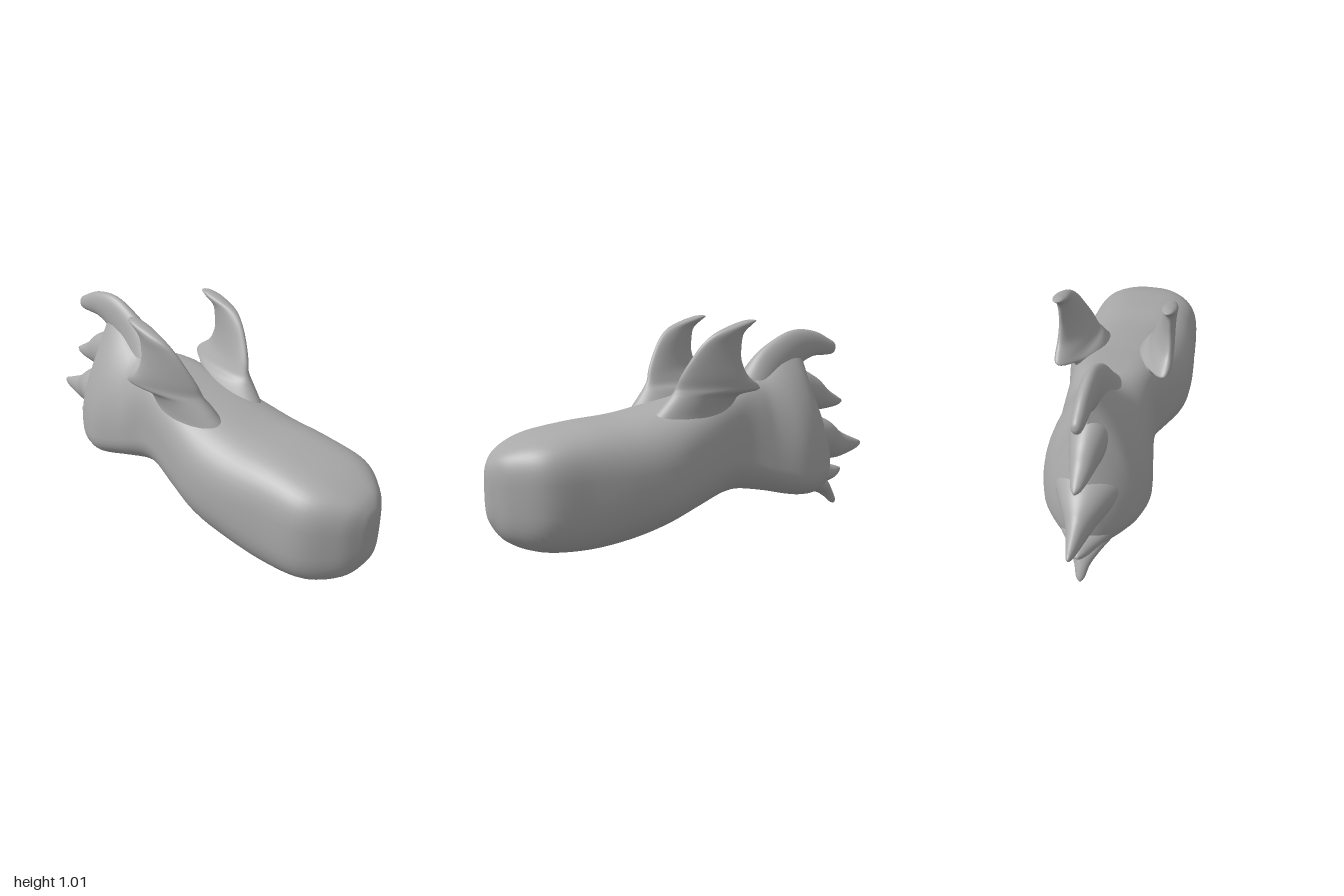
import * as THREE from 'three';

const SIDES = 48;
const bone = new THREE.MeshStandardMaterial({ color: 0xa9a9a9 });
bone.name = 'bone grey';

// Smoothly interpolate rows of station values
function resample(rows, steps) {
  const out = [];
  const at = (i) => rows[Math.max(0, Math.min(rows.length - 1, i))];
  for (let i = 0; i < rows.length - 1; i++) {
    for (let s = 0; s < steps; s++) {
      const t = s / steps;
      out.push(rows[i].map((b, k) => {
        const a = at(i - 1)[k], c = at(i + 1)[k], d = at(i + 2)[k];
        return b + 0.5 * t * (c - a + t * (2 * a - 5 * b + 4 * c - d + t * (3 * (b - c) + d - a)));
      }));
    }
  }
  out.push(rows[rows.length - 1]);
  return out;
}

// Skin a list of closed rings and cap both ends
function loft(name, rings) {
  const pos = [], idx = [], n = SIDES;
  rings.forEach((r) => r.forEach((p) => pos.push(p.x, p.y, p.z)));
  for (let i = 0; i < rings.length - 1; i++) {
    for (let j = 0; j < n; j++) {
      const a = i * n + j, b = i * n + (j + 1) % n;
      idx.push(a, a + n, b, b, a + n, b + n);
    }
  }
  [0, rings.length - 1].forEach((i, end) => {
    const c = new THREE.Vector3();
    rings[i].forEach((p) => c.addScaledVector(p, 1 / n));
    const m = pos.length / 3;
    pos.push(c.x, c.y, c.z);
    for (let j = 0; j < n; j++) {
      const a = i * n + j, b = i * n + (j + 1) % n;
      if (end) idx.push(m, b, a); else idx.push(m, a, b);
    }
  });
  const g = new THREE.BufferGeometry();
  g.setAttribute('position', new THREE.Float32BufferAttribute(pos, 3));
  g.setIndex(idx);
  g.computeVertexNormals();
  const mesh = new THREE.Mesh(g, bone);
  mesh.name = name;
  return mesh;
}

const ring = (fn) => Array.from({ length: SIDES }, (_, j) => {
  const a = (j / SIDES) * Math.PI * 2;
  return fn(Math.cos(a), Math.sin(a));
});
const spow = (v, p) => Math.sign(v) * Math.pow(Math.abs(v), p);

// Main body: z, bottom, widest height, top, half width, top power, bottom power
function makeBody() {
  const rows = [
    [1.0, 0.21, 0.28, 0.36, 0.03, 0.7, 0.7],
    [0.985, 0.15, 0.28, 0.42, 0.075, 0.65, 0.7],
    [0.93, 0.075, 0.28, 0.475, 0.16, 0.6, 0.65],
    [0.8, 0.022, 0.28, 0.525, 0.262, 0.6, 0.68],
    [0.6, 0, 0.28, 0.56, 0.287, 0.65, 0.75],
    [0.4, 0.013, 0.3, 0.58, 0.304, 0.75, 0.85],
    [0.22, 0.06, 0.32, 0.615, 0.302, 0.78, 0.85],
    [0.05, 0.115, 0.35, 0.65, 0.262, 0.66, 0.9],
    [-0.1, 0.16, 0.37, 0.685, 0.222, 0.55, 1.0],
    [-0.2, 0.175, 0.35, 0.705, 0.207, 0.58, 0.95],
    [-0.34, 0.155, 0.3, 0.735, 0.226, 1.05, 0.85],
    [-0.48, 0.122, 0.27, 0.85, 0.245, 2.05, 0.8],
    [-0.58, 0.106, 0.26, 0.87, 0.22, 2.45, 0.85],
    [-0.64, 0.106, 0.26, 0.72, 0.188, 2.1, 0.9],
    [-0.7, 0.105, 0.26, 0.57, 0.138, 1.8, 1.0],
    [-0.75, 0.12, 0.26, 0.44, 0.075, 1.3, 1.0],
    [-0.775, 0.2, 0.27, 0.34, 0.02, 1.0, 1.0],
  ];
  return loft('body', resample(rows, 6).map(([z, yb, ym, yt, w, pt, pb]) => ring((c, s) => {
    const p = s > 0 ? pt : pb;
    const y = ym + spow(s, Math.min(1, p)) * (s > 0 ? yt - ym : ym - yb);
    return new THREE.Vector3(w * spow(c, p), y, z);
  })));
}

// Tapered horn in the middle plane: z, y, half width, half height
function makeHorn(name, rows) {
  const st = resample(rows, 6);
  return loft(name, st.map(([z, y, a, b], i) => {
    const p = st[Math.max(0, i - 1)], q = st[Math.min(st.length - 1, i + 1)];
    const T = new THREE.Vector3(0, q[1] - p[1], q[0] - p[0]).normalize();
    const U = new THREE.Vector3(1, 0, 0).cross(T);
    return ring((c, s) => new THREE.Vector3(a * c, y, z).addScaledVector(U, b * s));
  }));
}

// Upright wing: y, front z, front x, back z, back x, half thickness
function makeWing(name, side) {
  const rows = [
    [0.48, 0.32, 0.13, -0.16, 0.12, 0.1],
    [0.57, 0.275, 0.13, -0.14, 0.135, 0.086],
    [0.62, 0.235, 0.138, -0.125, 0.152, 0.076],
    [0.665, 0.198, 0.145, -0.14, 0.185, 0.065],
    [0.688, 0.182, 0.15, -0.21, 0.232, 0.056],
    [0.712, 0.17, 0.155, -0.205, 0.246, 0.048],
    [0.76, 0.155, 0.17, -0.145, 0.25, 0.039],
    [0.83, 0.12, 0.195, -0.113, 0.248, 0.032],
    [0.9, 0.075, 0.218, -0.113, 0.246, 0.029],
    [0.95, 0.02, 0.235, -0.125, 0.245, 0.03],
    [0.985, -0.06, 0.24, -0.165, 0.24, 0.032],
    [1.003, -0.12, 0.24, -0.19, 0.24, 0.022],
    [1.008, -0.145, 0.24, -0.18, 0.24, 0.006],
  ];
  return loft(name, resample(rows, 5).map(([y, zf, xf, zb, xb, t]) => {
    const fx = (xf - xb) / 2, fz = (zf - zb) / 2, k = t / Math.hypot(fx, fz);
    const r = ring((c, s) => new THREE.Vector3(
      side * ((xf + xb) / 2 + fx * s + fz * k * c), y, (zf + zb) / 2 + fz * s - fx * k * c));
    return side > 0 ? r : r.reverse();
  }));
}

export function createModel() {
  const model = new THREE.Group();
  model.name = 'vertebra';
  model.add(makeBody());
  model.add(makeWing('leftWing', 1), makeWing('rightWing', -1));
  // Hooked top spine
  model.add(makeHorn('topSpine', [
    [-0.14, 0.56, 0.12, 0.1], [-0.3, 0.635, 0.095, 0.1], [-0.42, 0.745, 0.06, 0.11],
    [-0.5, 0.81, 0.047, 0.1], [-0.58, 0.853, 0.041, 0.088], [-0.67, 0.865, 0.035, 0.066],
    [-0.75, 0.85, 0.03, 0.046], [-0.8, 0.838, 0.022, 0.03], [-0.815, 0.835, 0.006, 0.008],
  ]));
  // Rear points, from high to low
  model.add(makeHorn('upperPoint', [
    [-0.36, 0.56, 0.12, 0.1], [-0.52, 0.625, 0.105, 0.13], [-0.65, 0.612, 0.075, 0.1],
    [-0.75, 0.58, 0.047, 0.056], [-0.83, 0.563, 0.025, 0.026], [-0.865, 0.562, 0.006, 0.008],
  ]));
  model.add(makeHorn('middlePoint', [
    [-0.35, 0.42, 0.19, 0.12], [-0.56, 0.4, 0.185, 0.13], [-0.71, 0.377, 0.118, 0.112],
    [-0.83, 0.335, 0.055, 0.076], [-0.94, 0.324, 0.025, 0.037], [-0.985, 0.325, 0.012, 0.018],
    [-1.0, 0.325, 0.004, 0.006],
  ]));
  model.add(makeHorn('lowerPoint', [
    [-0.5, 0.22, 0.19, 0.07], [-0.68, 0.205, 0.13, 0.062], [-0.78, 0.19, 0.065, 0.045],
    [-0.84, 0.193, 0.03, 0.026], [-0.87, 0.2, 0.006, 0.006],
  ]));
  model.add(makeHorn('bottomPoint', [
    [-0.5, 0.19, 0.15, 0.05], [-0.65, 0.165, 0.125, 0.055], [-0.74, 0.125, 0.072, 0.043],
    [-0.79, 0.08, 0.036, 0.029], [-0.825, 0.035, 0.02, 0.018], [-0.837, 0.018, 0.006, 0.007],
  ]));
  return model;
}
